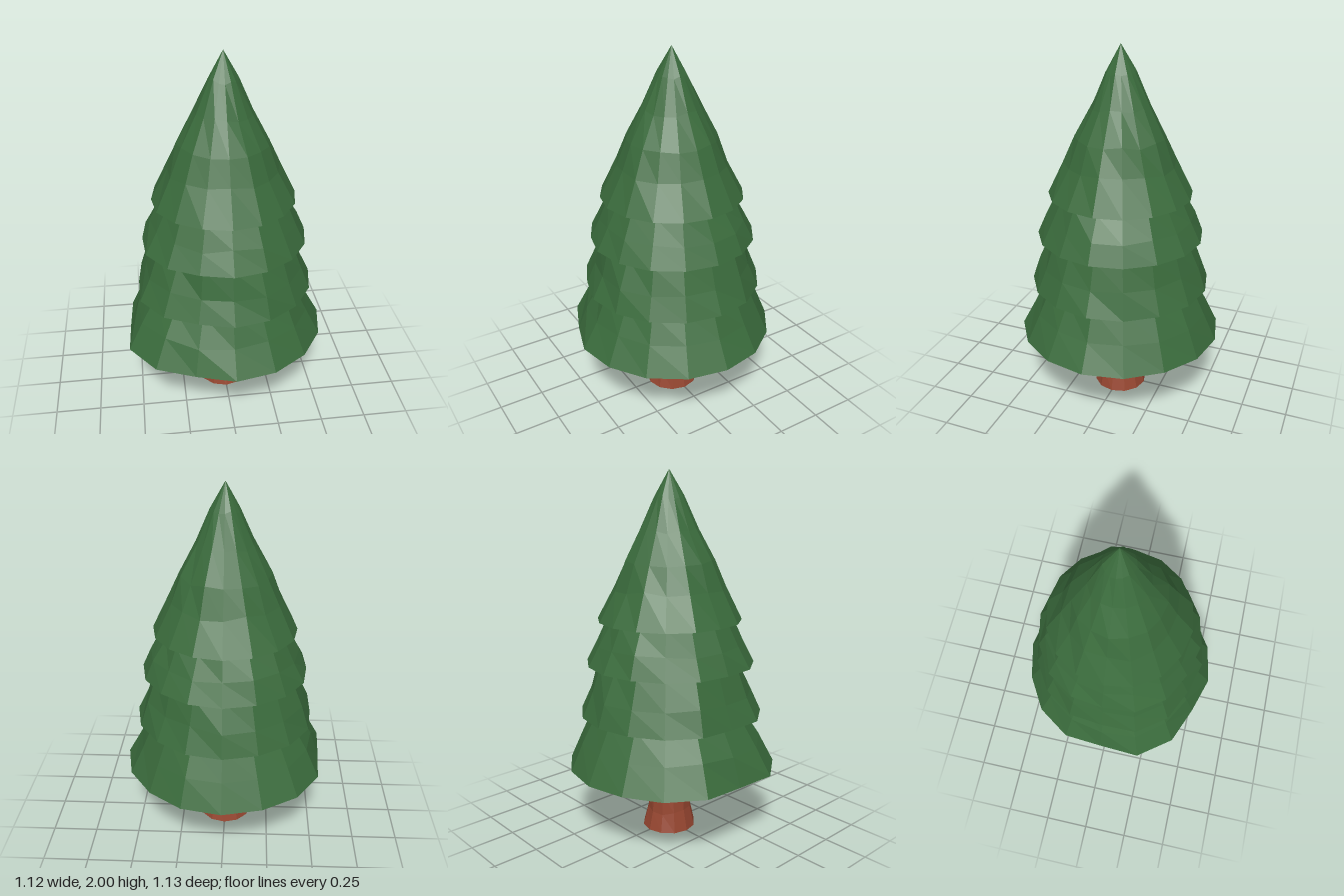
import * as THREE from 'three';

const SIDES = 16;

// Seeded noise in -1..1
function makeNoise(seed) {
  let s = seed;
  return () => {
    s = (s * 16807) % 2147483647;
    return (s / 2147483647) * 2 - 1;
  };
}

// Flat-shaded lathe whose rings are made slightly uneven.
// sideScale gives a radius factor per side, strongest at the bottom.
function roughLathe(name, profile, sides, material, seed, amount, sideScale) {
  const points = profile.map(([r, y]) => new THREE.Vector2(r, y));
  const geometry = new THREE.LatheGeometry(points, sides);
  const pos = geometry.attributes.position;
  const noise = makeNoise(seed);
  const n = points.length;
  const yLow = profile[0][1];
  const yHigh = profile[n - 1][1];
  for (let i = 0; i < sides; i++) {
    for (let j = 0; j < n; j++) {
      const [r, y] = profile[j];
      const wobble = j > 1 ? noise() * amount : 0;
      const fade = 1 - (y - yLow) / (yHigh - yLow);
      const scale = 1 + wobble + (sideScale ? (sideScale[i] - 1) * fade : 0);
      const lift = r > 0 && j > 1 ? noise() * 0.012 : 0;
      // the seam column repeats the first one
      for (const column of i === 0 ? [0, sides] : [i]) {
        const k = column * n + j;
        pos.setXYZ(k, pos.getX(k) * scale, y + lift, pos.getZ(k) * scale);
      }
    }
  }
  geometry.computeVertexNormals();
  const mesh = new THREE.Mesh(geometry, material);
  mesh.name = name;
  return mesh;
}

export function createModel() {
  const tree = new THREE.Group();
  tree.name = 'pineTree';

  const bark = new THREE.MeshStandardMaterial({ color: 0x964630, flatShading: true });
  const needles = new THREE.MeshStandardMaterial({ color: 0x3a6b3c, flatShading: true });

  // Trunk, flared at the foot
  const trunk = [[0, 0], [0.15, 0], [0.123, 0.11], [0.117, 0.22], [0.1, 0.41]];
  tree.add(roughLathe('trunk', trunk, 12, bark, 77, 0.03));

  // Foliage tiers, each a skirt with a flat underside
  const tiers = [
    [[0, 0.4], [0.567, 0.4], [0.495, 0.55], [0.415, 0.7], [0.37, 0.79]],
    [[0, 0.7], [0.495, 0.7], [0.445, 0.83], [0.39, 0.97], [0.35, 1.06]],
    [[0, 0.98], [0.455, 0.98], [0.4, 1.09], [0.34, 1.21], [0.3, 1.3]],
    [[0, 1.215], [0.39, 1.215], [0.3, 1.39], [0.242, 1.53], [0.155, 1.69], [0.078, 1.86], [0, 2]],
  ];
  // Uneven rim, counted from the front towards the left
  const rim = [1, 1, 1, 1, 1, 1, 0.99, 1, 1, 0.99, 1.01, 1.01, 0.96, 1.06, 1.04, 0.96];
  // Order follows the lathe: front, left, back, right
  const order = rim.map((_, i) => rim[i]);
  order[12] = 0.96;
  tiers.forEach((profile, t) => {
    const scale = order.map((f) => 1 + (f - 1) * (1 - t * 0.25));
    // the right-front corner sticks out, the side facet behind it is flatter
    tree.add(roughLathe('foliageTier' + (t + 1), profile, SIDES, needles, 1234 + t * 911, 0.025, scale));
  });

  return tree;
}
